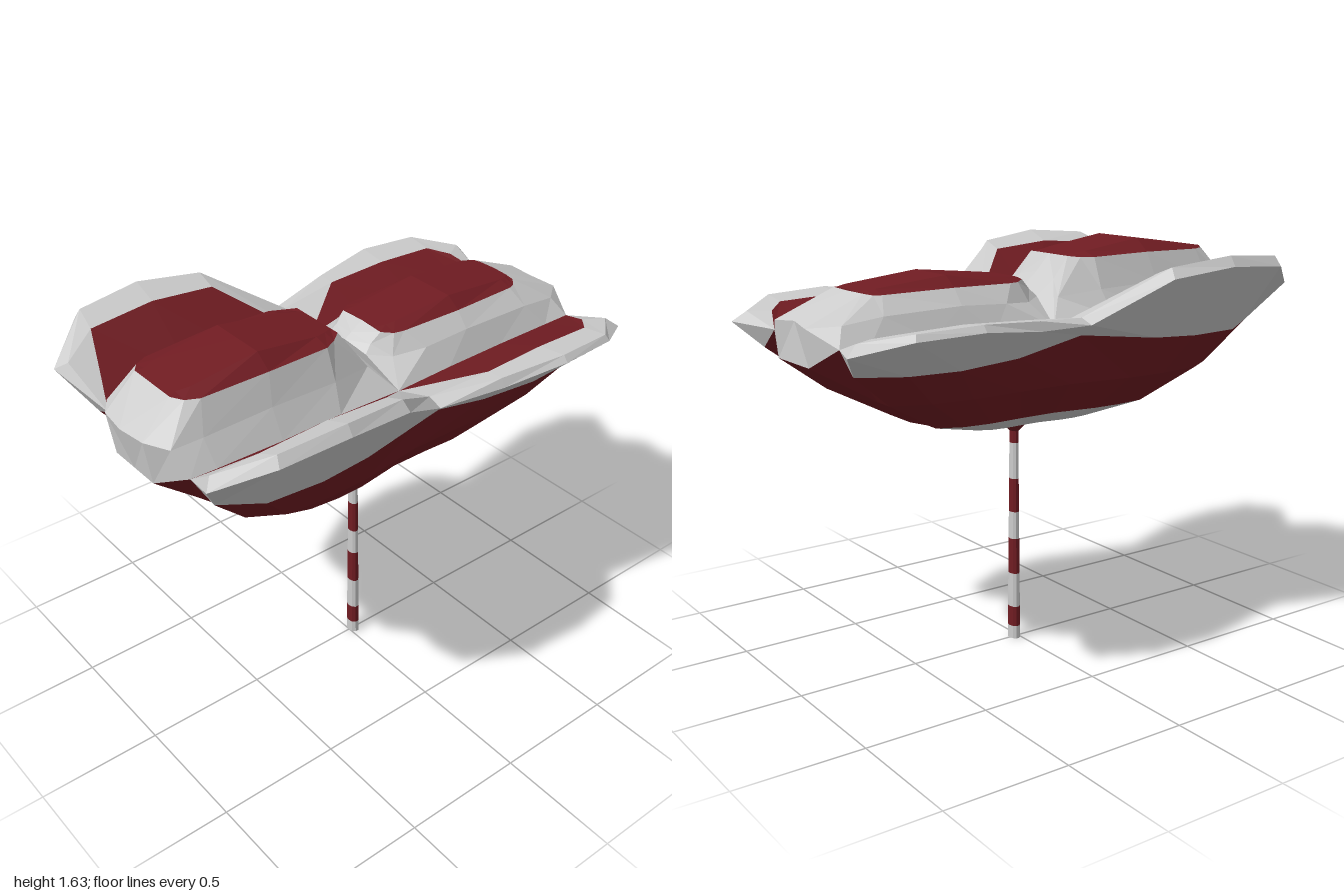
import * as THREE from 'three';

const grey = new THREE.MeshStandardMaterial({ color: 0xcccccc, flatShading: true });
const red = new THREE.MeshStandardMaterial({ color: 0x701c22, flatShading: true });

// Skins a series of half contours (+x side, each running front to back) and mirrors them to -x.
function skin(name, material, contours) {
  const pos = [];
  const tri = (a, b, c) => {
    const area = new THREE.Triangle(
      new THREE.Vector3(...a), new THREE.Vector3(...b), new THREE.Vector3(...c)).getArea();
    if (area < 1e-7) return;
    pos.push(...a, ...b, ...c);
    for (const p of [a, c, b]) pos.push(-p[0], p[1], p[2]);
  };
  for (let k = 0; k + 1 < contours.length; k++) {
    const lo = contours[k], hi = contours[k + 1];
    for (let i = 0; i + 1 < lo.length; i++) {
      tri(lo[i], lo[i + 1], hi[i + 1]);
      tri(lo[i], hi[i + 1], hi[i]);
    }
  }
  const geo = new THREE.BufferGeometry();
  geo.setAttribute('position', new THREE.Float32BufferAttribute(pos, 3));
  geo.computeVertexNormals();
  const mesh = new THREE.Mesh(geo, material);
  mesh.name = name;
  return mesh;
}

export function createModel() {
  const model = new THREE.Group();
  model.name = 'paddedCanopy';

  // Shared corners where the humps, wings and hull meet
  const frontNotch = [0.265, 1.355, 0.89];
  const waist = [0.265, 1.345, -0.02];
  const backNotch = [0.255, 1.35, -0.92];
  const waistOuter = [0.49, 1.38, -0.02], waistTop = [0.43, 1.4, -0.02];

  // Hull: upper rim, then smaller rings down to the stem
  const rim = [
    [0, 1.285, 0.95], [0.12, 1.285, 0.95], frontNotch, [0.37, 1.3, 0.87], [0.46, 1.29, 0.72],
    [0.48, 1.29, 0.5], [0.475, 1.3, 0.3], [0.43, 1.335, -0.02], [0.43, 1.28, -0.3],
    [0.44, 1.265, -0.55], [0.42, 1.265, -0.75], [0.35, 1.27, -0.92], backNotch,
    [0.12, 1.27, -0.97], [0, 1.27, -0.97],
  ];
  const ring = (sx, sz, y) => rim.map(([x, , z]) => [x * sx, y, z * sz]);
  const keel = ring(0.6, 0.56, 1.01);
  model.add(skin('hullSides', red, [keel, ring(0.84, 0.82, 1.14), rim]));
  model.add(skin('hullBottom', grey, [ring(0, 0, 0.925), ring(0.35, 0.3, 0.95), keel]));

  // Wings: outer edge, top edge, panel edge, valley beside the hump
  const wings = {
    frontWing: {
      hull: rim.slice(2, 8),
      outer: [frontNotch, [0.49, 1.46, 0.97], [0.635, 1.55, 0.79], [0.66, 1.57, 0.52],
        [0.63, 1.54, 0.25], waistOuter],
      top: [frontNotch, [0.45, 1.49, 0.93], [0.61, 1.59, 0.78], [0.635, 1.61, 0.52],
        [0.6, 1.58, 0.26], waistTop],
      panel: [frontNotch, [0.39, 1.45, 0.84], [0.52, 1.55, 0.79], [0.53, 1.57, 0.52],
        [0.52, 1.55, 0.26], waist],
      valley: [frontNotch, frontNotch, [0.275, 1.36, 0.79], [0.28, 1.36, 0.52],
        [0.275, 1.36, 0.26], waist],
    },
    backWing: {
      hull: rim.slice(7, 13),
      outer: [waistOuter, [0.545, 1.39, -0.28], [0.6, 1.42, -0.55], [0.575, 1.41, -0.81],
        [0.46, 1.36, -1], backNotch],
      top: [waistTop, [0.53, 1.425, -0.28], [0.58, 1.445, -0.55], [0.56, 1.435, -0.8],
        [0.43, 1.4, -0.95], backNotch],
      panel: [waist, [0.46, 1.42, -0.28], [0.46, 1.43, -0.55], [0.455, 1.42, -0.8],
        [0.38, 1.4, -0.87], backNotch],
      valley: [waist, [0.26, 1.35, -0.28], [0.255, 1.35, -0.55], [0.255, 1.35, -0.8],
        backNotch, backNotch],
    },
  };
  for (const [name, w] of Object.entries(wings)) {
    model.add(skin(name + 'Borders', grey, [w.hull, w.outer, w.top, w.panel]));
    model.add(skin(name + 'Panels', red, [w.panel, w.valley]));
  }

  // Humps: base, bulge and panel edge, with a ridged panel on top
  const saddle = [[0, 1.46, 0.02], [0.11, 1.44, 0.01]];
  const humps = {
    frontHump: {
      peak: 1.635, mid: 0.5, half: 0.35,
      base: [rim[0], rim[1], frontNotch, ...wings.frontWing.valley.slice(2, 5), waist,
        saddle[1], saddle[0]],
      bulge: [[0, 1.46, 0.99], [0.12, 1.46, 0.975], [0.205, 1.45, 0.92], [0.22, 1.46, 0.8],
        [0.225, 1.47, 0.52], [0.22, 1.46, 0.24], [0.18, 1.44, 0.06], [0.11, 1.5, 0.09],
        [0, 1.52, 0.09]],
      edge: [[0, 1.585, 0.85], [0.11, 1.585, 0.85], [0.15, 1.58, 0.82], [0.175, 1.58, 0.77],
        [0.185, 1.585, 0.5], [0.175, 1.58, 0.24], [0.15, 1.58, 0.19], [0.12, 1.585, 0.15],
        [0, 1.585, 0.15]],
    },
    backHump: {
      peak: 1.55, mid: -0.4, half: 0.35,
      base: [saddle[0], saddle[1], waist, ...wings.backWing.valley.slice(1, 4), backNotch,
        rim[13], rim[14]],
      bulge: [[0, 1.48, -0.01], [0.1, 1.47, -0.02], [0.17, 1.43, -0.07], [0.21, 1.44, -0.2],
        [0.215, 1.45, -0.4], [0.21, 1.44, -0.72], [0.2, 1.42, -0.88], [0.12, 1.41, -0.98],
        [0, 1.42, -0.96]],
      edge: [[0, 1.515, -0.06], [0.11, 1.51, -0.06], [0.14, 1.505, -0.1], [0.15, 1.505, -0.14],
        [0.165, 1.51, -0.4], [0.15, 1.505, -0.69], [0.14, 1.505, -0.72], [0.11, 1.51, -0.745],
        [0, 1.51, -0.75]],
    },
  };
  for (const [name, h] of Object.entries(humps)) {
    const low = h.edge[0][1];
    const ridge = (sx) => h.edge.map(([x, , z]) => {
      const t = Math.max(0, 1 - Math.abs(z - h.mid) / h.half);
      return [x * sx, low + (h.peak - low) * t, z];
    });
    model.add(skin(name + 'Sides', grey, [h.base, h.bulge, h.edge]));
    model.add(skin(name + 'Panel', red, [h.edge, ridge(0.65), ridge(0)]));
  }

  // Striped stem, slightly flattened, with a flared collar
  const stem = new THREE.Group();
  stem.name = 'stem';
  stem.position.z = -0.02;
  stem.scale.z = 0.75;
  const radius = (y) => 0.031 - 0.011 * y;
  const addBand = (name, y0, y1, r0, r1, material) => {
    const band = new THREE.Mesh(new THREE.CylinderGeometry(r1, r0, y1 - y0, 10), material);
    band.name = name;
    band.position.y = (y0 + y1) / 2;
    stem.add(band);
  };
  const cuts = [0, 0.055, 0.14, 0.285, 0.435, 0.55, 0.69, 0.84, 0.895];
  for (let i = 0; i + 1 < cuts.length; i++) {
    addBand('stemBand', cuts[i], cuts[i + 1], radius(cuts[i]), radius(cuts[i + 1]), i % 2 ? red : grey);
  }
  addBand('stemCollar', 0.89, 0.935, 0.024, 0.075, red);
  model.add(stem);
  return model;
}
